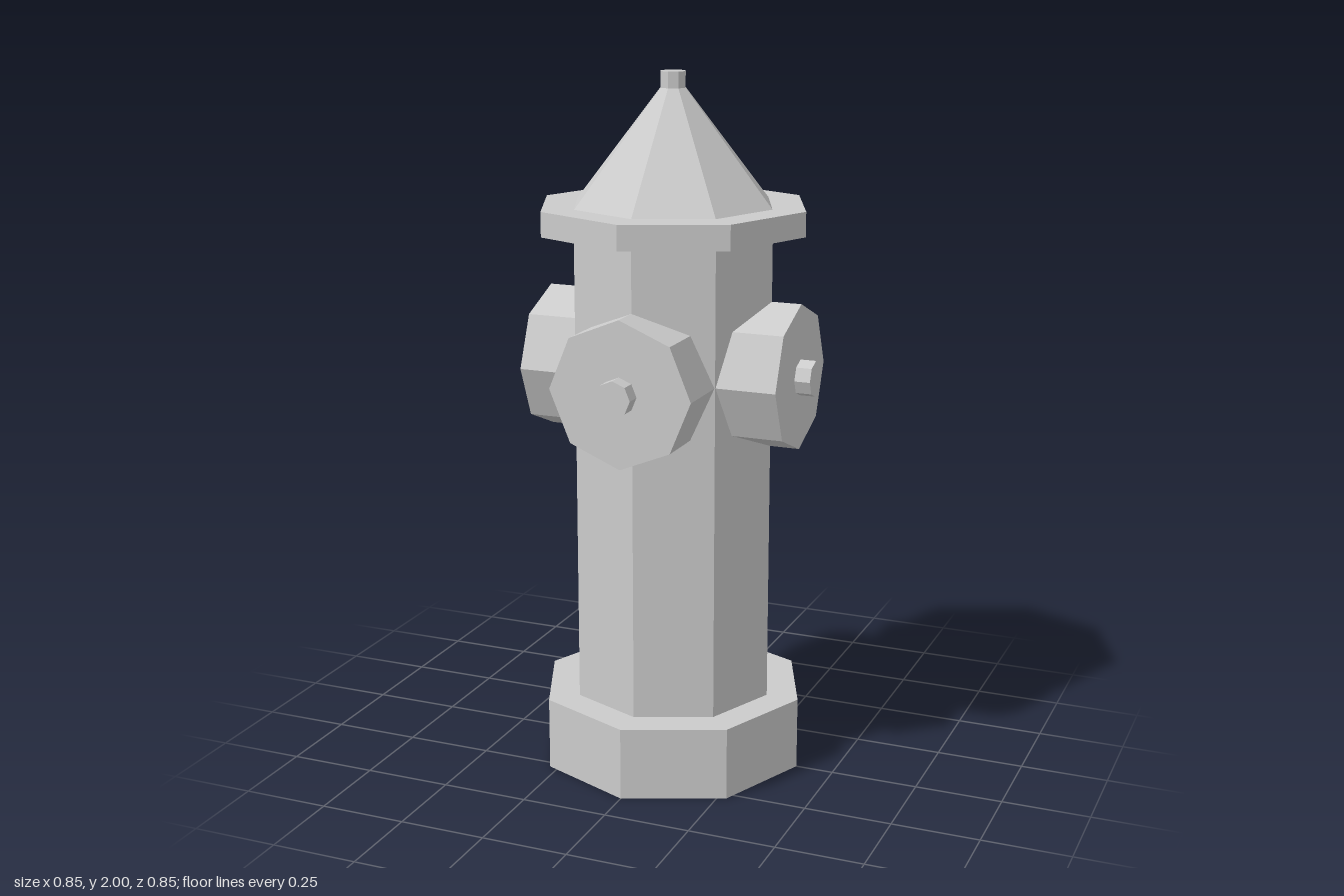
import * as THREE from 'three';

const material = new THREE.MeshStandardMaterial({ color: 0xcccccc, flatShading: true });

// Eight-sided prism or frustum spanning start..end along its axis
function octagon(name, rTop, rBottom, start, end) {
  const geometry = new THREE.CylinderGeometry(rTop, rBottom, end - start, 8);
  geometry.translate(0, (start + end) / 2, 0);
  const mesh = new THREE.Mesh(geometry, material);
  mesh.name = name;
  return mesh;
}

export function createModel() {
  const model = new THREE.Group();
  model.name = 'hydrant';

  // Upright stack
  model.add(
    octagon('base', 0.39, 0.39, 0, 0.21),
    octagon('barrel', 0.295, 0.295, 0.21, 1.565),
    octagon('flange', 0.39, 0.39, 1.565, 1.635),
    octagon('bonnet', 0.037, 0.293, 1.635, 1.955),
    octagon('topNut', 0.037, 0.037, 1.955, 2)
  );

  // Four outlets, each a capped nozzle with a nut
  ['front', 'left', 'back', 'right'].forEach((side, i) => {
    const outlet = new THREE.Group();
    outlet.name = side + 'Outlet';
    outlet.add(
      octagon('nozzleCap', 0.207, 0.207, 0.15, 0.381),
      octagon('capNut', 0.051, 0.051, 0.37, 0.426)
    );
    outlet.rotation.set(Math.PI / 2, i * Math.PI / 2, 0, 'YXZ');
    outlet.position.y = 1.172;
    model.add(outlet);
  });

  return model;
}
